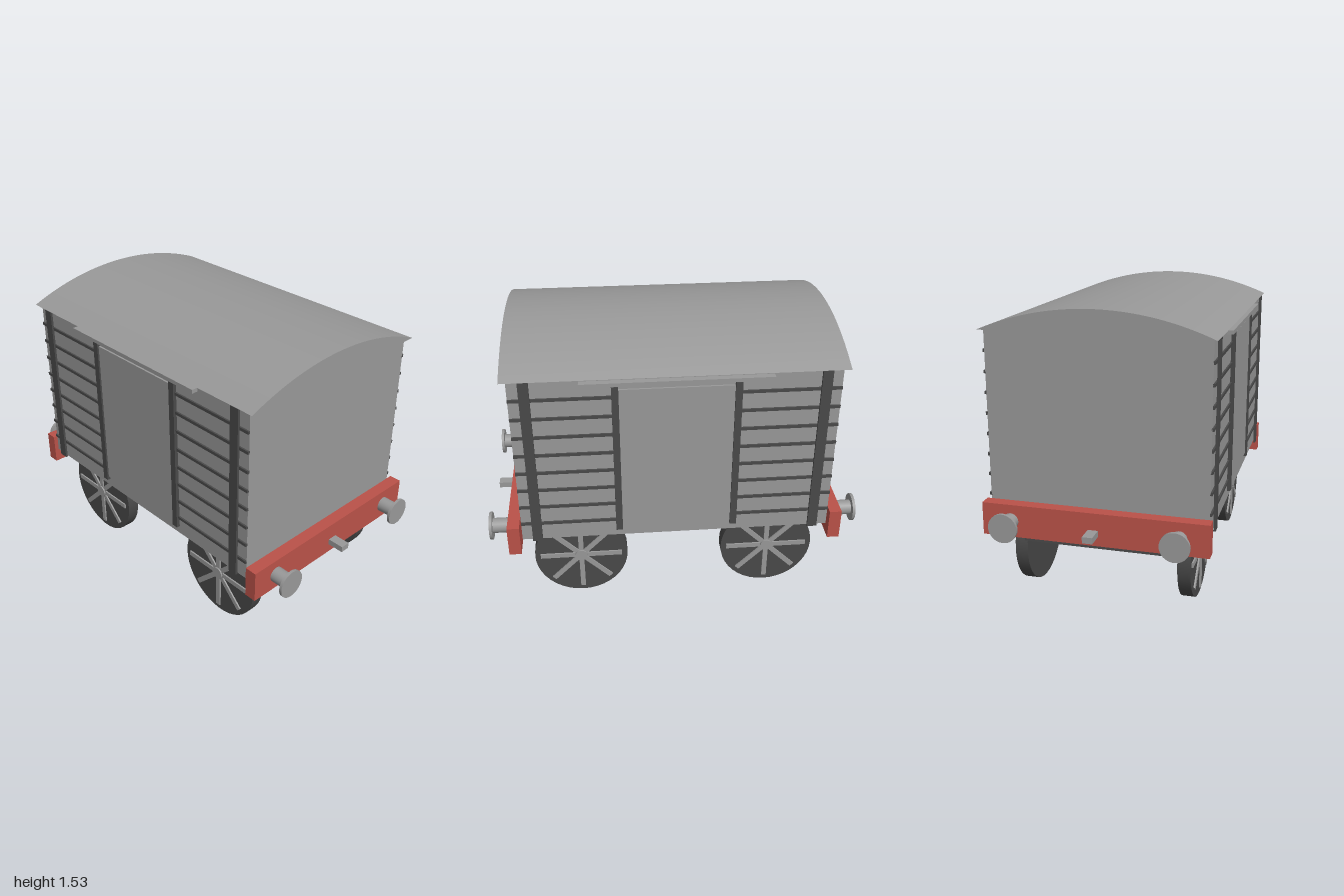
import * as THREE from 'three';

const grey = new THREE.MeshStandardMaterial({ color: 0x999999 });
grey.name = 'lightGrey';
const dark = new THREE.MeshStandardMaterial({ color: 0x4a4a4a });
dark.name = 'darkGrey';
const red = new THREE.MeshStandardMaterial({ color: 0xbb5249 });
red.name = 'beamRed';

function add(parent, name, geometry, material, x = 0, y = 0, z = 0) {
  const mesh = new THREE.Mesh(geometry, material);
  mesh.name = name;
  mesh.position.set(x, y, z);
  parent.add(mesh);
  return mesh;
}

// Box given by its minimum and maximum on each axis
function block(parent, name, material, [x0, x1], [y0, y1], [z0, z1]) {
  return add(parent, name, new THREE.BoxGeometry(x1 - x0, y1 - y0, z1 - z0), material,
    (x0 + x1) / 2, (y0 + y1) / 2, (z0 + z1) / 2);
}

// Solid roof: a circular segment extruded along the wagon
function makeRoof(parent) {
  const half = 0.585, base = 1.41, rise = 0.12, depth = 1.7;
  const radius = (half * half + rise * rise) / (2 * rise);
  const angle = Math.asin(half / radius);
  const shape = new THREE.Shape();
  shape.absarc(0, base + rise - radius, radius, Math.PI / 2 - angle, Math.PI / 2 + angle, false);
  const geometry = new THREE.ExtrudeGeometry(shape, { depth, bevelEnabled: false, curveSegments: 24 });
  add(parent, 'roof', geometry, grey, 0, 0, -depth / 2);
}

// Side fittings for the +x side; the other side is this group turned round
function makeSide() {
  const side = new THREE.Group();
  block(side, 'doorPanel', grey, [0.56, 0.573], [0.525, 1.345], [-0.29, 0.29]);
  block(side, 'doorRail', grey, [0.56, 0.597], [1.375, 1.395], [-0.475, 0.475]);
  for (const s of [-1, 1]) {
    const span = (a, b) => (s > 0 ? [a, b] : [-b, -a]);
    block(side, 'doorPost', dark, [0.56, 0.582], [0.505, 1.365], span(0.285, 0.32));
    block(side, 'cornerPost', dark, [0.57, 0.582], [0.46, 1.41], span(0.71, 0.762));
    for (let i = 0; i < 8; i++) {
      const y = 0.565 + i * 0.1055;
      block(side, 'plankStrip', dark, [0.56, 0.572], [y - 0.008, y + 0.008], span(0.3, 0.818));
    }
  }
  return side;
}

// Wheel with raised spokes on its outer (+x) face
function makeWheel() {
  const wheel = new THREE.Group();
  const disc = new THREE.CylinderGeometry(0.256, 0.256, 0.067, 40).rotateZ(Math.PI / 2);
  add(wheel, 'wheelDisc', disc, dark, 0.43);
  for (let i = 0; i < 4; i++) {
    const spoke = add(wheel, 'spokePair', new THREE.BoxGeometry(0.012, 0.45, 0.027), grey, 0.466);
    spoke.rotation.x = i * Math.PI / 4;
  }
  return wheel;
}

// End beam, two round bumpers and a coupling for the +z end
function makeEnd() {
  const end = new THREE.Group();
  block(end, 'endBeam', red, [-0.58, 0.58], [0.375, 0.545], [0.83, 0.895]);
  block(end, 'coupling', grey, [-0.026, 0.026], [0.425, 0.457], [0.89, 0.985]);
  for (const x of [-0.43, 0.43]) {
    const shank = new THREE.CylinderGeometry(0.041, 0.041, 0.1, 24).rotateX(Math.PI / 2);
    const head = new THREE.CylinderGeometry(0.075, 0.075, 0.015, 32).rotateX(Math.PI / 2);
    add(end, 'bumperShank', shank, grey, x, 0.46, 0.937);
    add(end, 'bumperHead', head, grey, x, 0.46, 0.9925);
  }
  return end;
}

export function createModel() {
  const model = new THREE.Group();
  model.name = 'goodsWagon';
  block(model, 'body', grey, [-0.563, 0.563], [0.46, 1.41], [-0.818, 0.818]);
  block(model, 'underframe', dark, [-0.39, 0.39], [0.325, 0.46], [-0.818, 0.818]);
  makeRoof(model);

  for (const turn of [0, Math.PI]) {
    const side = makeSide();
    side.name = turn ? 'rightSide' : 'leftSide';
    side.rotation.y = turn;
    const end = makeEnd();
    end.name = turn ? 'backEnd' : 'frontEnd';
    end.rotation.y = turn;
    model.add(side, end);
  }

  // Wheel sets
  for (const z of [-0.518, 0.518]) {
    const set = new THREE.Group();
    set.name = z > 0 ? 'frontWheelSet' : 'backWheelSet';
    set.position.set(0, 0.256, z);
    const axle = new THREE.CylinderGeometry(0.034, 0.034, 0.96, 16).rotateZ(Math.PI / 2);
    add(set, 'axle', axle, grey);
    for (const turn of [0, Math.PI]) {
      const wheel = makeWheel();
      wheel.name = turn ? 'rightWheel' : 'leftWheel';
      wheel.rotation.y = turn;
      set.add(wheel);
    }
    model.add(set);
  }
  return model;
}
